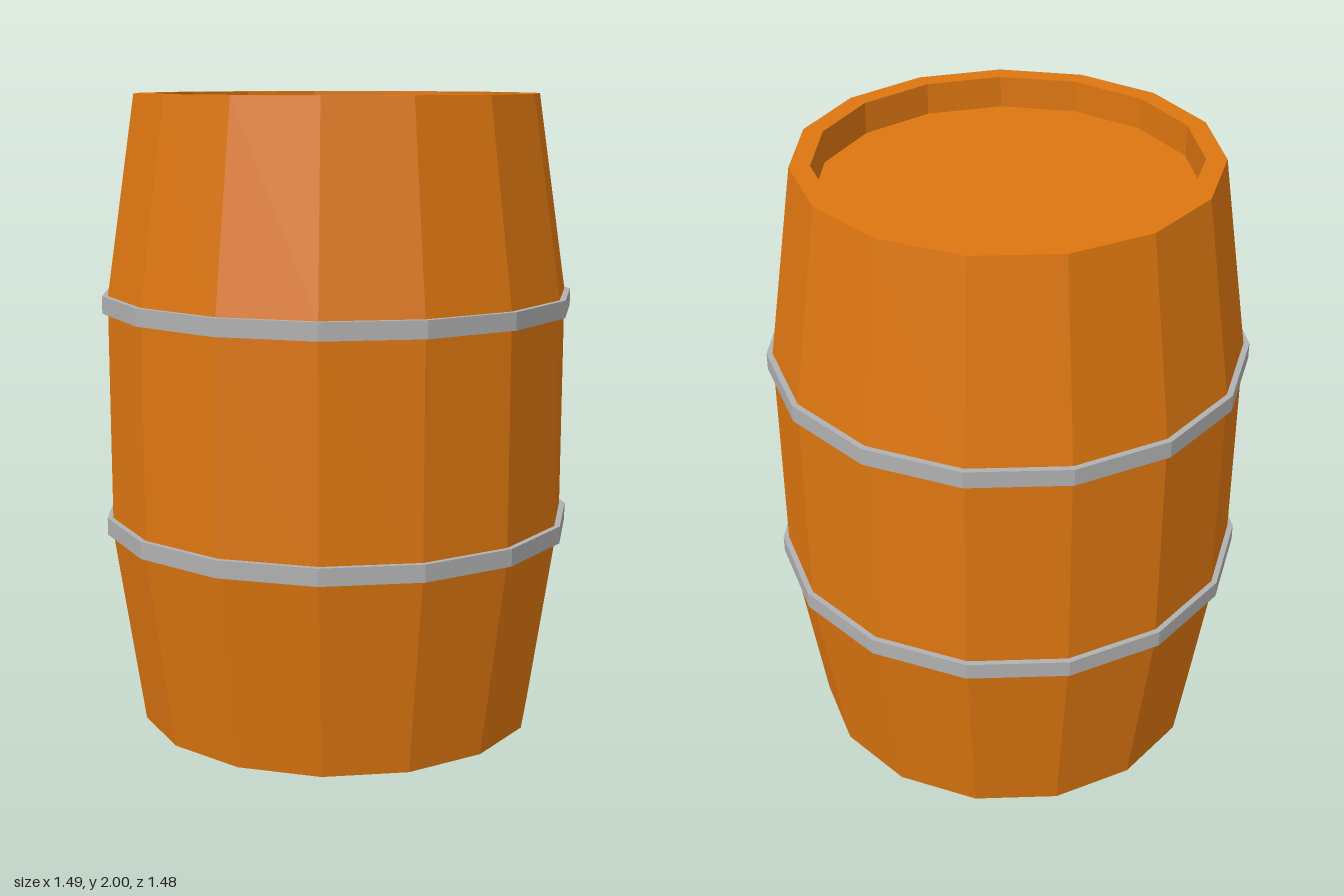
import * as THREE from 'three';

const SIDES = 15;

// Faceted ring swept from a closed [radius, y] profile, one corner facing the back
function facetedLathe(profile) {
  const points = profile.map(([r, y]) => new THREE.Vector2(r, y));
  const geometry = new THREE.LatheGeometry(points, SIDES, Math.PI).toNonIndexed();
  geometry.computeVertexNormals();
  return geometry;
}

export function createModel() {
  const wood = new THREE.MeshStandardMaterial({ color: 0xdd7610 });
  wood.name = 'orange wood';
  const metal = new THREE.MeshStandardMaterial({ color: 0xb0b0b0 });
  metal.name = 'grey metal';

  const barrel = new THREE.Group();
  barrel.name = 'barrel';
  const add = (name, geometry, material) => {
    const mesh = new THREE.Mesh(geometry, material);
    mesh.name = name;
    barrel.add(mesh);
    return mesh;
  };

  const rim = 0.637, belly = 0.73, inner = 0.575, recess = 0.1;

  // Stave wall: inner lip, rim, bulging outside, rim, inner lip
  add('staves', facetedLathe([
    [inner, recess], [inner, 0], [rim, 0], [belly, 0.625],
    [belly, 1.38], [rim, 2], [inner, 2], [inner, 2 - recess],
  ]), wood);

  // Recessed heads at both ends
  for (const side of [1, -1]) {
    const disc = new THREE.CircleGeometry(inner, SIDES, side * Math.PI / 2);
    disc.rotateX(-side * Math.PI / 2);
    const head = add(side > 0 ? 'topHead' : 'bottomHead', disc, wood);
    head.position.y = side > 0 ? 2 - recess : recess;
  }

  // Metal hoops
  for (const [name, y] of [['lowerHoop', 0.65], ['upperHoop', 1.357]]) {
    const h = 0.027;
    const hoop = add(name, facetedLathe([
      [0.715, -h], [0.748, -h], [0.748, h], [0.715, h],
    ]), metal);
    hoop.position.y = y;
  }

  // An odd number of sides reaches less far forward than back
  barrel.children.forEach((part) => { part.position.z = 0.008; });
  return barrel;
}
